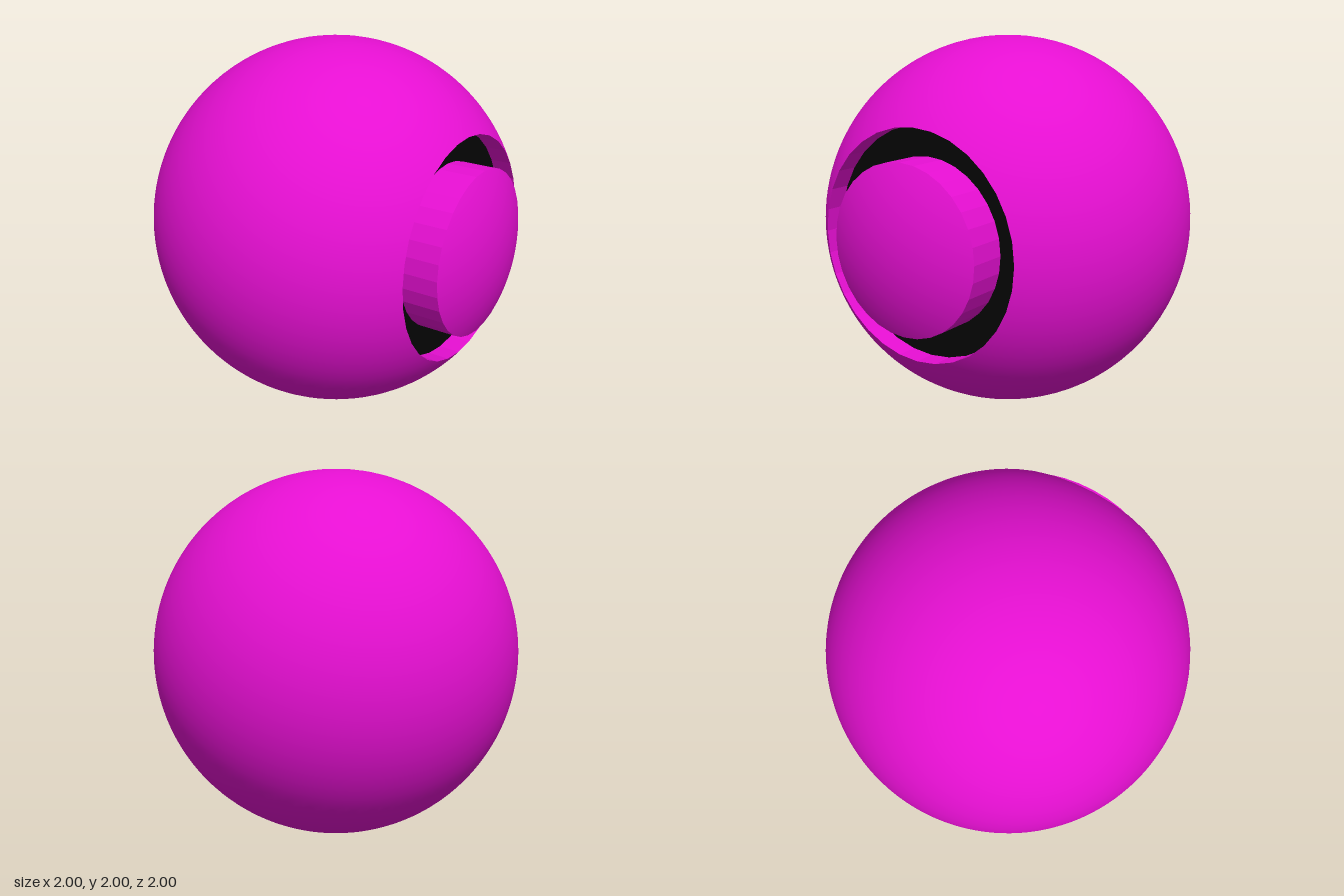
import * as THREE from 'three';

const SIDES = 32;      // facets of the groove walls
const RIM = 0.597;     // outer groove radius
const CORE = 0.44;     // inner groove radius
const FLOOR = 0.69;    // groove floor, measured along the axis from the centre

const height = (r) => Math.sqrt(1 - r * r);

// Slice of the unit sphere; the edge row at radius r is pulled onto the faceted wall.
function sphereSlice(r, start, length, rows) {
  const geo = new THREE.SphereGeometry(1, SIDES * 3, rows, 0, Math.PI * 2, start, length);
  const pos = geo.attributes.position;
  const step = (Math.PI * 2) / SIDES;
  for (let i = 0; i < pos.count; i++) {
    if (Math.abs(pos.getY(i) - height(r)) > 1e-4) continue;
    const a = Math.atan2(pos.getZ(i), pos.getX(i));
    const off = a - Math.round(a / step - 0.5) * step - step / 2;
    const k = Math.cos(step / 2) / Math.cos(off);
    pos.setX(i, pos.getX(i) * k);
    pos.setZ(i, pos.getZ(i) * k);
  }
  return geo;
}

// Open faceted wall from the groove floor up to the sphere surface.
function wall(r) {
  const h = height(r) - FLOOR;
  return new THREE.CylinderGeometry(r, r, h, SIDES, 1, true).translate(0, FLOOR + h / 2, 0);
}

export function createModel() {
  const color = 0xe60fd2;
  const smooth = new THREE.MeshStandardMaterial({ color });
  const faceted = new THREE.MeshStandardMaterial({ color, flatShading: true, side: THREE.DoubleSide });
  const black = new THREE.MeshStandardMaterial({ color: 0x050505 });

  const group = new THREE.Group();
  const add = (name, geo, mat) => {
    // parts are made around y, then turned so the groove faces +x
    const mesh = new THREE.Mesh(geo.rotateZ(-Math.PI / 2), mat);
    mesh.name = name;
    mesh.position.y = 1;
    group.add(mesh);
  };

  const rimAngle = Math.asin(RIM);
  add('ballShell', sphereSlice(RIM, rimAngle, Math.PI - rimAngle, 56), smooth);
  add('buttonCap', sphereSlice(CORE, 0, Math.asin(CORE), 12), smooth);
  add('buttonSide', wall(CORE), faceted);
  add('grooveOuterWall', wall(RIM), faceted);
  add('grooveFloor', new THREE.RingGeometry(CORE, RIM, SIDES).rotateX(-Math.PI / 2).translate(0, FLOOR, 0), black);

  return group;
}
